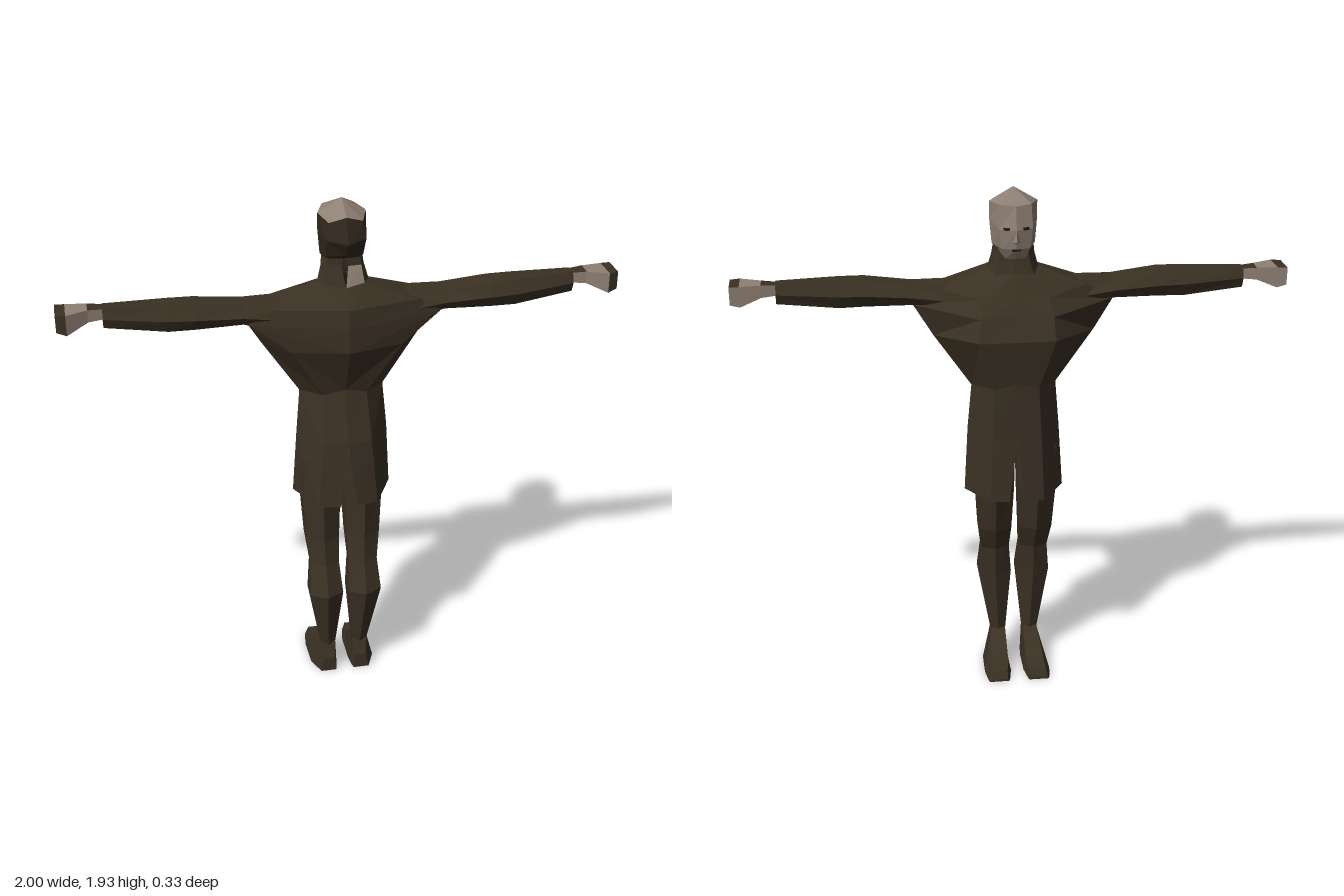
import * as THREE from 'three';

const material = (name, color, side = THREE.FrontSide) => {
  const m = new THREE.MeshStandardMaterial({ color, side });
  m.name = name;
  return m;
};

// Flat-shaded skin over cross-sections; pick(row, column) chooses a material index,
// mirror = -1 reflects the part in x
function loft(name, rings, mats, { closed = true, caps = false, pick = () => 0, mirror = 1 } = {}) {
  const buckets = mats.map(() => []);
  const tri = (k, a, b, c) => {
    for (const p of mirror < 0 ? [a, c, b] : [a, b, c]) buckets[k].push(p[0] * mirror, p[1], p[2]);
  };
  for (let i = 0; i < rings.length - 1; i++) {
    const r = rings[i], s = rings[i + 1], n = r.length;
    for (let j = 0; j < (closed ? n : n - 1); j++) {
      const e = (j + 1) % n, k = pick(i, j);
      tri(k, r[j], r[e], s[e]);
      tri(k, r[j], s[e], s[j]);
    }
  }
  if (caps) {
    const first = rings[0], last = rings[rings.length - 1];
    for (let j = 1; j < first.length - 1; j++) {
      tri(0, first[0], first[j + 1], first[j]);
      tri(0, last[0], last[j], last[j + 1]);
    }
  }
  const geo = new THREE.BufferGeometry();
  let start = 0;
  buckets.forEach((b, k) => {
    geo.addGroup(start, b.length / 3, k);
    start += b.length / 3;
  });
  geo.setAttribute('position', new THREE.Float32BufferAttribute(buckets.flat(), 3));
  geo.computeVertexNormals();
  const mesh = new THREE.Mesh(geo, mats);
  mesh.name = name;
  return mesh;
}

export function createModel() {
  const model = new THREE.Group();
  model.name = 'figure';
  const cloth = material('darkCloth', 0x3b3124, THREE.DoubleSide);
  const skin = material('skin', 0x8f8074);
  const hair = material('hair', 0x31281d);
  const ink = material('faceMarks', 0x241c16);

  // Half sections run: chest centre, chest side, flank, back side, back centre
  const waist = [[0, 1.24, -0.13], [0.08, 1.22, -0.125], [0.155, 1.2, -0.01], [0.08, 1.21, 0.07], [0, 1.23, 0.08]];
  const torso = [
    [[0, 1.7, -0.035], [0.05, 1.71, -0.03], [0.072, 1.73, 0], [0.055, 1.75, 0.05], [0, 1.75, 0.055]],
    [[0, 1.67, -0.042], [0.055, 1.67, -0.035], [0.077, 1.69, 0.01], [0.06, 1.7, 0.055], [0.012, 1.7, 0.06]],
    [[0, 1.63, -0.055], [0.07, 1.62, -0.045], [0.092, 1.635, 0.02], [0.068, 1.64, 0.075], [0, 1.63, 0.09]],
    [[0, 1.55, -0.105], [0.12, 1.55, -0.095], [0.26, 1.575, -0.035], [0.26, 1.57, 0.095], [0, 1.57, 0.15]],
    [[0, 1.5, -0.13], [0.13, 1.49, -0.135], [0.36, 1.515, -0.015], [0.34, 1.515, 0.085], [0, 1.5, 0.157]],
    [[0, 1.41, -0.165], [0.135, 1.41, -0.165], [0.29, 1.4, -0.02], [0.2, 1.41, 0.11], [0, 1.41, 0.16]],
    waist,
  ];
  // Split skirt, parted at the centre lines
  const skirt = [
    waist,
    [[0, 1.02, -0.13], [0.09, 1.03, -0.125], [0.17, 1.03, 0], [0.09, 1.03, 0.12], [0, 1.03, 0.135]],
    [[0.03, 0.78, -0.145], [0.1, 0.78, -0.14], [0.185, 0.78, -0.01], [0.11, 0.78, 0.14], [0.03, 0.78, 0.155]],
  ];
  const head = [
    Array(5).fill([0, 1.93, 0]),
    [[0, 1.88, -0.09], [0.055, 1.885, -0.075], [0.085, 1.88, 0], [0.06, 1.87, 0.08], [0, 1.89, 0.095]],
    [[0, 1.8, -0.11], [0.06, 1.8, -0.085], [0.085, 1.82, 0], [0.07, 1.81, 0.09], [0, 1.8, 0.125]],
    [[0, 1.73, -0.1], [0.05, 1.73, -0.085], [0.077, 1.73, -0.005], [0.065, 1.74, 0.06], [0, 1.75, 0.09]],
    [[0, 1.69, -0.075], [0.035, 1.69, -0.07], [0.06, 1.71, 0], [0.05, 1.72, 0.045], [0, 1.73, 0.06]],
    Array(5).fill([0, 1.715, 0]),
  ];

  // Sleeve sections: x, top, bottom, z range
  const sleeve = [
    [0.2, 1.585, 1.47, -0.05, 0.1], [0.36, 1.583, 1.515, -0.045, 0.1], [0.53, 1.603, 1.513, -0.035, 0.105],
    [0.62, 1.605, 1.51, -0.03, 0.095], [0.84, 1.605, 1.532, -0.015, 0.058],
  ].map(([x, t, b, z0, z1]) => {
    const m = (t + b) / 2, d = (z1 - z0) * 0.2;
    return [[x, t, z0 + d], [x, t, z1 - d], [x, m, z1], [x, b, z1 - d], [x, b, z0 + d], [x, m, z0]];
  });
  const hand = [
    [0.82, 1.6, 1.565, 0, 0.04], [0.89, 1.605, 1.56, -0.01, 0.05],
    [0.965, 1.605, 1.53, -0.018, 0.083], [1, 1.605, 1.54, -0.02, 0.072],
  ].map(([x, t, b, z0, z1]) => [[x, t, z0], [x, t, z1], [x, b, z1], [x, b, z0]]);

  // Leg sections: y, x range, z range
  const leg = [
    [0.95, 0.005, 0.15, -0.09, 0.11], [0.78, 0.008, 0.15, -0.075, 0.105], [0.6, 0.015, 0.14, -0.035, 0.105],
    [0.5, 0.02, 0.128, 0.015, 0.12], [0.38, 0.01, 0.138, 0.025, 0.165], [0.11, 0.035, 0.09, 0.04, 0.1],
  ].map(([y, x0, x1, z0, z1]) => Array.from({ length: 6 }, (_, i) => {
    const t = (i * Math.PI) / 3;
    return [(x0 + x1) / 2 + Math.sin(t) * (x1 - x0) * 0.577, y, (z0 + z1) / 2 - Math.cos(t) * (z1 - z0) / 2];
  }));
  // Foot sections from heel to toe: z, height, top x range, sole x range
  const foot = [
    [0.118, 0.06, 0.04, 0.085, 0.035, 0.095], [0.095, 0.12, 0.035, 0.09, 0.03, 0.105],
    [0.045, 0.13, 0.035, 0.09, 0.025, 0.125], [-0.07, 0.045, 0.035, 0.105, 0.025, 0.128],
    [-0.13, 0.038, 0.045, 0.105, 0.035, 0.12], [-0.145, 0.01, 0.045, 0.105, 0.04, 0.115],
  ].map(([z, h, a, b, c, d]) => [[a, h, z], [b, h, z], [d, 0, z], [c, 0, z]]);

  const legs = new THREE.Group();
  legs.name = 'legs';
  legs.position.x = -0.008;
  model.add(legs);

  for (const [side, mirror] of [['left', 1], ['right', -1]]) {
    const half = { closed: false, mirror };
    model.add(
      // one bare patch of neck on the left
      loft(side + 'Torso', torso, [cloth, skin], { ...half, pick: (i, j) => (mirror > 0 && i === 1 && j === 3 ? 1 : 0) }),
      loft(side + 'Skirt', skirt, [cloth], half),
      // bare crown and face, hair behind
      loft(side + 'Head', head, [skin, hair], { ...half, pick: (i, j) => (i > 0 && j > 1 ? 1 : 0) }),
      loft(side + 'Sleeve', sleeve, [cloth], { caps: true, mirror }),
      // covered top, bare palm and fingertips
      loft(side + 'Hand', hand, [skin, cloth], { caps: true, mirror, pick: (i, j) => (j === 0 && i !== 1 || j === 1 && i > 1 ? 1 : 0) }),
    );
    legs.add(
      loft(side + 'Leg', leg, [cloth], { caps: true, mirror }),
      loft(side + 'Foot', foot, [cloth], { caps: true, mirror }),
    );
    const eye = new THREE.Mesh(new THREE.BoxGeometry(0.022, 0.009, 0.006), ink);
    eye.name = side + 'Eye';
    eye.position.set(mirror * 0.034, 1.803, -0.096);
    eye.rotation.y = -mirror * 0.39;
    model.add(eye);
  }

  // Nose and mouth
  const nose = loft('nose', [
    Array(3).fill([0, 1.8, -0.11]),
    [[-0.014, 1.755, -0.098], [0, 1.762, -0.126], [0.014, 1.755, -0.098]],
    Array(3).fill([0, 1.75, -0.1]),
  ], [skin]);
  const mouth = new THREE.Mesh(new THREE.BoxGeometry(0.032, 0.007, 0.008), ink);
  mouth.name = 'mouth';
  mouth.position.set(0, 1.727, -0.098);
  model.add(nose, mouth);
  return model;
}
